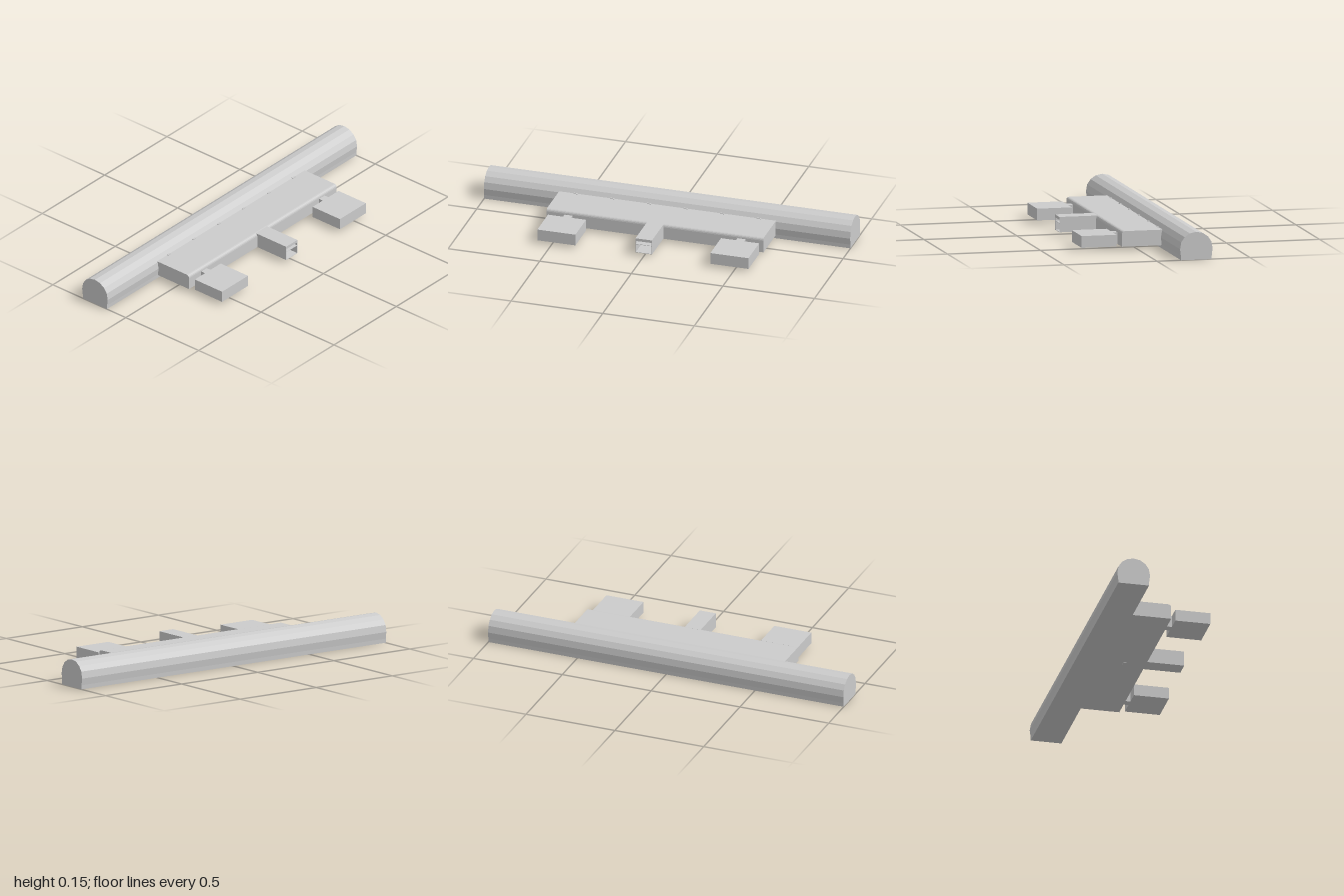
import * as THREE from 'three';

const material = new THREE.MeshStandardMaterial({ color: 0xcccccc, flatShading: true, side: THREE.DoubleSide });

function add(parent, name, geometry) {
  const mesh = new THREE.Mesh(geometry, material);
  mesh.name = name;
  parent.add(mesh);
  return mesh;
}

// Box given by its minimum and maximum corners
function box(parent, name, [x0, y0, z0], [x1, y1, z1]) {
  const geometry = new THREE.BoxGeometry(x1 - x0, y1 - y0, z1 - z0);
  geometry.translate((x0 + x1) / 2, (y0 + y1) / 2, (z0 + z1) / 2);
  return add(parent, name, geometry);
}

// Cross-section in x/y, run along z and centred
function extrusion(parent, name, shape, length) {
  const geometry = new THREE.ExtrudeGeometry(shape, { depth: length, bevelEnabled: false, curveSegments: 4 });
  geometry.translate(0, 0, -length / 2);
  return add(parent, name, geometry);
}

export function createModel() {
  const model = new THREE.Group();
  model.name = 'railMountedUnit';

  // Long rail: faceted round top on a flat base
  const half = [[0.082, 0], [0.083, 0.022], [0.0875, 0.058], [0.081, 0.094], [0.063, 0.121], [0.035, 0.14]];
  const profile = [
    ...half.map(([x, y]) => new THREE.Vector2(-0.2115 + x, y)),
    new THREE.Vector2(-0.2115, 0.147),
    ...half.slice().reverse().map(([x, y]) => new THREE.Vector2(-0.2115 - x, y)),
  ];
  extrusion(model, 'rail', new THREE.Shape(profile), 2);

  // Flat body with a rounded outer top edge
  const bodyShape = new THREE.Shape();
  bodyShape.moveTo(-0.142, 0.017);
  bodyShape.lineTo(0.085, 0.017);
  bodyShape.lineTo(0.085, 0.083);
  bodyShape.quadraticCurveTo(0.084, 0.098, 0.07, 0.099);
  bodyShape.lineTo(-0.142, 0.099);
  extrusion(model, 'body', bodyShape, 1.184);

  // Small clips where the body meets the rail
  for (const z of [-0.5, -0.3, -0.1, 0.1, 0.3, 0.5]) {
    box(model, 'clip', [-0.14, 0.094, z - 0.011], [-0.126, 0.102, z + 0.011]);
  }

  // Side blocks, each on a narrow neck
  for (const side of [-1, 1]) {
    const arm = new THREE.Group();
    arm.name = side > 0 ? 'frontArm' : 'backArm';
    const z = side * 0.4725;
    box(arm, 'neck', [0.08, 0.017, z - 0.022], [0.112, 0.079, z + 0.022]);
    box(arm, 'block', [0.111, 0.017, z - 0.104], [0.298, 0.079, z + 0.104]);
    model.add(arm);
  }

  // Hollow central sleeve with an inner shelf, open at its outer end
  const sleeve = new THREE.Group();
  sleeve.name = 'sleeve';
  const [x0, x1, w, t] = [0.075, 0.283, 0.045, 0.002];
  box(sleeve, 'sleeveTop', [x0, 0.083, -w], [x1, 0.098, w]);
  box(sleeve, 'sleeveShelf', [x0, 0.064, -w], [x1, 0.066, w]);
  box(sleeve, 'sleeveFloor', [x0, 0.017, -w], [x1, 0.019, w]);
  for (const side of [-1, 1]) {
    const z = side * (w - t / 2);
    box(sleeve, 'sleeveWall', [x0, 0.017, z - t / 2], [x1, 0.098, z + t / 2]);
  }
  model.add(sleeve);

  // Small stud under the body
  box(model, 'stud', [-0.036, 0.015, -0.012], [-0.018, 0.018, 0.012]);

  return model;
}
